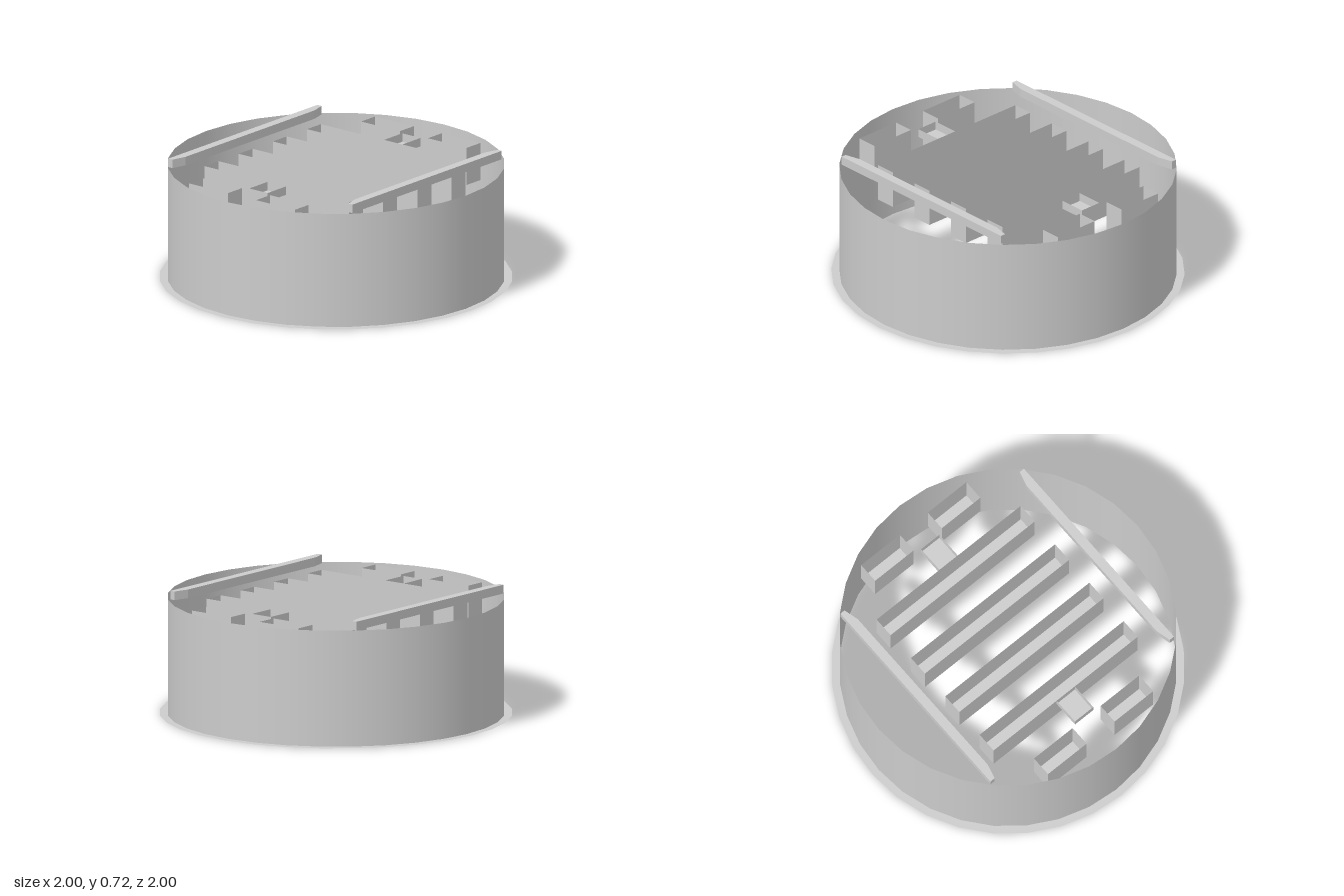
import * as THREE from 'three';

const SEGMENTS = 32;
const RADIUS = 0.955;
const RIM_Y = 0.67;

export function createModel() {
  const model = new THREE.Group();
  const solid = new THREE.MeshStandardMaterial({ color: 0xcccccc });
  const thin = new THREE.MeshStandardMaterial({ color: 0xcccccc, side: THREE.DoubleSide });

  function add(name, geometry, material, parent = model) {
    const mesh = new THREE.Mesh(geometry, material);
    mesh.name = name;
    parent.add(mesh);
    return mesh;
  }

  // Thin round wall, open at both ends
  add('wall', new THREE.CylinderGeometry(RADIUS, RADIUS, RIM_Y, SEGMENTS, 1, true), thin)
    .position.y = RIM_Y / 2;

  // Flat flange around the foot of the wall
  add('flange', new THREE.RingGeometry(RADIUS, 1, SEGMENTS).rotateX(-Math.PI / 2), thin);

  // Everything inside the wall shares one group
  const inner = new THREE.Group();
  inner.name = 'innerFittings';
  inner.position.set(-0.001, 0, -0.007);
  model.add(inner);

  // Open-topped box hanging down from the rim level
  function addTrough(name, x, z, width, length, depth) {
    const geometry = new THREE.BoxGeometry(width, depth, length);
    // Drop the top face (third of the six faces, six indices each)
    const index = Array.from(geometry.index.array);
    index.splice(12, 6);
    geometry.setIndex(index);
    geometry.clearGroups();
    add(name, geometry, thin, inner).position.set(x, RIM_Y - depth / 2, z);
  }

  // Four long parallel troughs
  for (const x of [-0.453, -0.151, 0.151, 0.453]) {
    addTrough('longTrough', x, 0, 0.123, 1.064, 0.22);
  }

  for (const side of [-1, 1]) {
    // Short troughs at the sides, with a shallow tray between them
    for (const end of [-1, 1]) {
      addTrough('shortTrough', side * 0.76, end * 0.246, 0.123, 0.285, 0.22);
    }
    addTrough('shallowTray', side * 0.596, 0, 0.162, 0.135, 0.05);

    // Cross bar on top, with chamfered inner corners
    const plan = new THREE.Shape([
      new THREE.Vector2(-0.66, 0.678),
      new THREE.Vector2(-0.66, 0.647),
      new THREE.Vector2(-0.57, 0.624),
      new THREE.Vector2(0.57, 0.624),
      new THREE.Vector2(0.66, 0.647),
      new THREE.Vector2(0.66, 0.678),
    ]);
    const bar = new THREE.ExtrudeGeometry(plan, { depth: 0.05, bevelEnabled: false });
    bar.rotateX(Math.PI / 2);
    if (side < 0) bar.rotateY(Math.PI);
    add(side > 0 ? 'frontCrossBar' : 'backCrossBar', bar, solid, inner).position.y = RIM_Y + 0.05;
  }

  return model;
}
